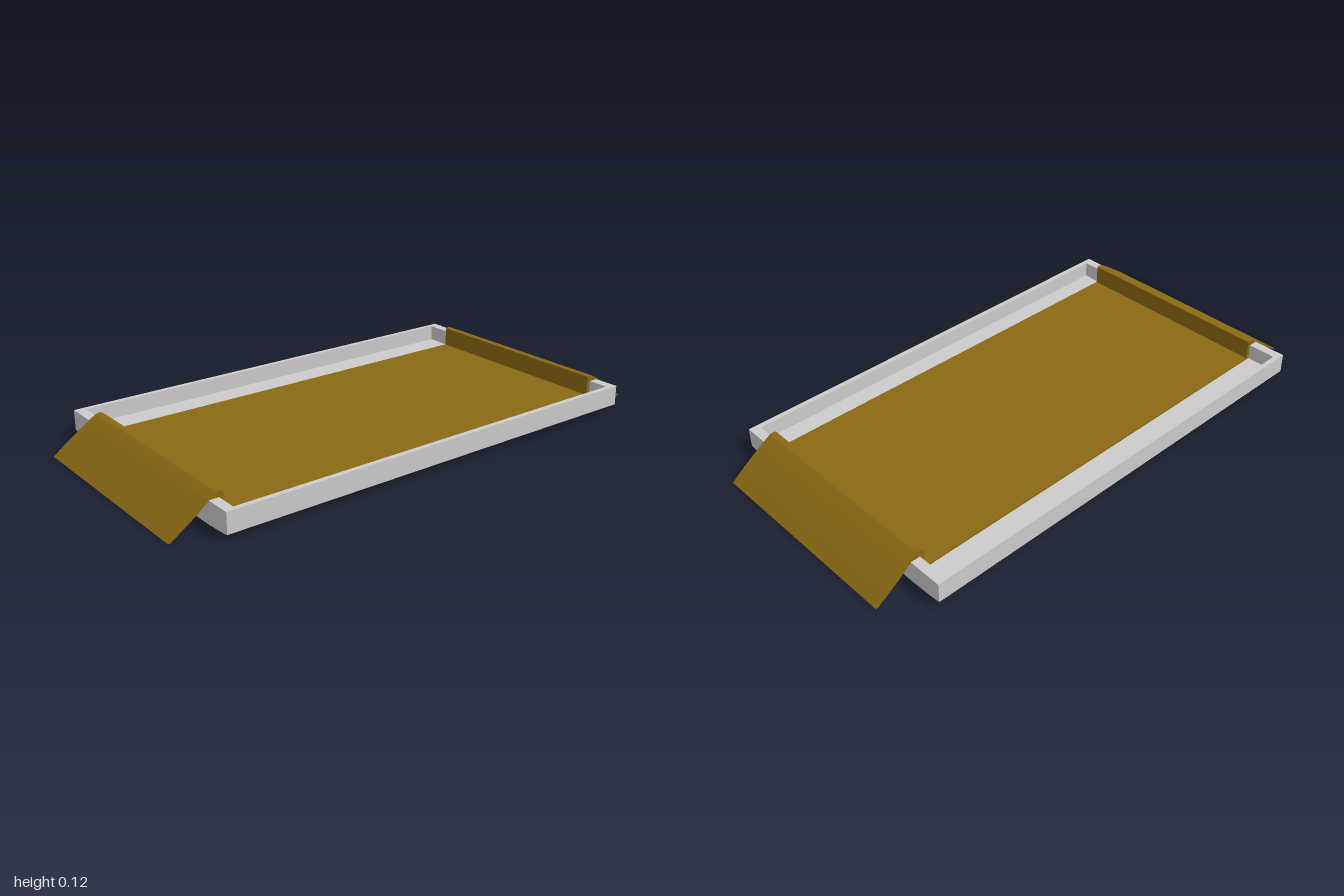
import * as THREE from 'three';

// Closed shape from points
const shapeOf = (pts) => new THREE.Shape(pts.map(([x, y]) => new THREE.Vector2(x, y)));

const extrude = (shape, depth) =>
  new THREE.ExtrudeGeometry(shape, { depth, bevelEnabled: false });

const rect = (w, d) => [[-w, -d], [w, -d], [w, d], [-w, d]];

export function createModel() {
  const group = new THREE.Group();
  const grey = new THREE.MeshStandardMaterial({ color: 0xcccccc, flatShading: true });
  const gold = new THREE.MeshStandardMaterial({ color: 0x8b6914, flatShading: true });

  const add = (name, geometry, material) => {
    const mesh = new THREE.Mesh(geometry, material);
    mesh.name = name;
    group.add(mesh);
  };

  const halfX = 0.858, halfZ = 0.51, floorY = 0.04, rimY = 0.1;

  // Tray base: flat floor with a softly bowed underside
  const bow = [[halfZ, 0.026], [0.49, 0.023], [0.45, 0.02], [0.4, 0.018], [0.3, 0.017]];
  const mirrored = bow.map(([z, y]) => [-z, y]).reverse();
  const base = extrude(shapeOf([[halfZ, floorY], [-halfZ, floorY], ...mirrored.reverse(), ...bow.slice().reverse()]), 2 * halfX);
  base.translate(0, 0, -halfX).rotateY(Math.PI / 2);
  add('trayBase', base, grey);

  // Raised rim around the tray
  const rim = shapeOf(rect(halfX, halfZ));
  rim.holes.push(shapeOf(rect(0.822, 0.491)));
  const rimGeometry = extrude(rim, rimY - floorY);
  rimGeometry.rotateX(-Math.PI / 2).translate(0, floorY, 0);
  add('trayRim', rimGeometry, grey);

  // Cloth runner: lies on the floor, climbs both end walls and drapes outward
  const under = [[0.821, floorY], [0.821, 0.1], [0.852, 0.1], [0.865, 0.092], [0.9, 0.064], [0.95, 0.03], [0.992, 0.001]];
  const over = [[1, 0.002], [0.95, 0.041], [0.9, 0.076], [0.86, 0.103], [0.832, 0.12], [0.818, 0.122], [0.808, 0.119], [0.806, 0.047]];
  const right = [...under, ...over];
  const left = right.map(([x, y]) => [-x, y]).reverse();
  const runner = extrude(shapeOf([...right, ...left]), 0.795);
  runner.translate(0, 0, -0.382);
  add('runner', runner, gold);

  return group;
}
